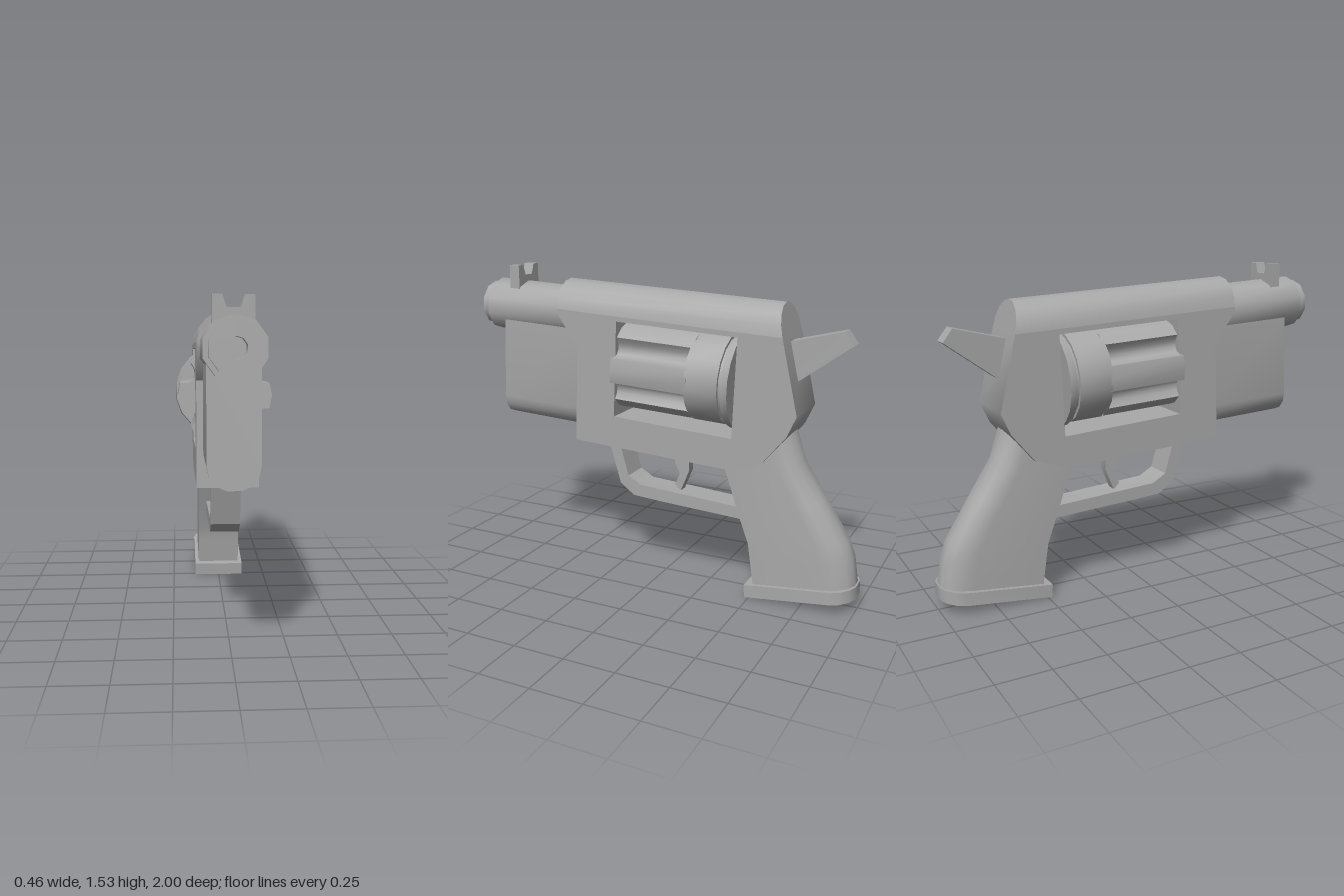
import * as THREE from 'three';
import { toCreasedNormals } from 'three/addons/utils/BufferGeometryUtils.js';

const TILT = 0.048; // the whole upper assembly points slightly upward

export function createModel() {
  const model = new THREE.Group();
  const grey = new THREE.MeshStandardMaterial({ color: 0xa8a8a8 });
  grey.name = 'grey metal';

  const add = (name, geometry, crease = 0.7) => {
    const mesh = new THREE.Mesh(toCreasedNormals(geometry, crease), grey);
    mesh.name = name;
    model.add(mesh);
  };

  // Extrude a side outline of [z, y] points to a half width in x
  const toVec = ([z, y]) => new THREE.Vector2(-z, y);
  const side = (points, halfWidth, hole) => {
    const shape = new THREE.Shape(points.map(toVec));
    if (hole) shape.holes.push(new THREE.Path(hole.map(toVec)));
    const g = new THREE.ExtrudeGeometry(shape, { depth: 2 * halfWidth, bevelEnabled: false });
    return g.translate(0, 0, -halfWidth).rotateY(Math.PI / 2);
  };

  // Extrude an x,y section along z between two depths
  const along = (points, z0, z1) => {
    const shape = new THREE.Shape(points.map(([x, y]) => new THREE.Vector2(x, y)));
    return new THREE.ExtrudeGeometry(shape, { depth: z1 - z0, bevelEnabled: false }).translate(0, 0, z0);
  };

  // Turned part along z from [radius, z] points, running back to front
  const turned = (points, sides) =>
    new THREE.LatheGeometry(points.map(([r, z]) => new THREE.Vector2(r, z)), sides).rotateX(Math.PI / 2);

  const tilt = (g, y) => g.rotateX(-TILT).translate(0, y, 0);

  // Frame with a window for the cylinder
  add('frame', side(
    [[0.53, 1.335], [0.53, 1.31], [0.42, 1.16], [0.44, 0.68], [-0.38, 0.637], [-0.55, 0.69],
      [-0.665, 0.83], [-0.71, 0.93], [-0.631, 1.279]],
    0.14,
    [[0.2, 1.295], [-0.42, 1.265], [-0.4, 0.79], [0.22, 0.825]]), 0.65);

  // Rounded frame top with a raked back end
  const arch = [];
  for (let i = 0; i <= 8; i++) {
    const a = (i / 8) * Math.PI;
    arch.push([0.14 * Math.cos(a), 0.14 * Math.sin(a)]);
  }
  const roof = along(arch, 0, 1);
  const rp = roof.attributes.position;
  for (let i = 0; i < rp.count; i++) {
    const h = rp.getY(i);
    const z = rp.getZ(i) > 0.5 ? 0.53 : -0.6 - (0.14 - h) * 0.22;
    rp.setXYZ(i, rp.getX(i), 1.309 + h + TILT * z, z);
  }
  add('frameTop', roof);

  // Barrel, muzzle ring and bore
  add('barrel', tilt(turned(
    [[0.132, 0.45], [0.132, 1.015], [0.11, 1.015], [0.11, 1.06], [0.045, 1.06], [0.045, 1.0], [0, 1.0]], 10),
  1.276).translate(0, 0, -0.06));

  // Barrel shroud with a rounded underside
  add('barrelShroud', tilt(along(
    [[-0.11, 0.52], [-0.11, 0.1], [-0.1, 0.055], [-0.07, 0.017], [-0.03, 0],
      [0.03, 0], [0.07, 0.017], [0.1, 0.055], [0.11, 0.1], [0.11, 0.52]],
    0.4, 0.89), 0.713));

  // Notched front sight
  add('frontSight', along(
    [[-0.085, 1.4], [0.085, 1.4], [0.085, 1.53], [0.045, 1.53], [0.028, 1.48],
      [-0.028, 1.48], [-0.045, 1.53], [-0.085, 1.53]], 0.785, 0.84), 0.2);

  // Fluted front of the cylinder
  const flutes = [];
  for (let k = 0; k < 6; k++) {
    for (const [deg, r] of [[-16, 0.218], [0, 0.222], [16, 0.218], [19, 0.185], [25, 0.165], [35, 0.165], [41, 0.185]]) {
      const a = THREE.MathUtils.degToRad(60 * k + deg);
      flutes.push([r * Math.cos(a), r * Math.sin(a)]);
    }
  }
  add('flutedCylinder', tilt(along(flutes, -0.2, 0.195), 1.062));

  // Plain rear of the cylinder with its rim
  add('cylinderRear', tilt(turned(
    [[0, -0.41], [0.235, -0.41], [0.23, -0.375], [0.205, -0.375], [0.205, -0.355],
      [0.22, -0.355], [0.22, -0.19], [0, -0.19]], 18), 1.062));

  add('hammer', side([[-0.6, 1.24], [-0.88, 1.31], [-0.925, 1.25], [-0.68, 1.07], [-0.6, 1.05]], 0.04), 0.2);

  add('triggerGuard', side(
    [[0.29, 0.68], [0.225, 0.46], [0.15, 0.405], [0, 0.395], [-0.47, 0.372], [-0.47, 0.43],
      [0.11, 0.465], [0.18, 0.505], [0.23, 0.68]], 0.07), 0.5);

  add('trigger', side(
    [[-0.055, 0.67], [-0.06, 0.59], [-0.085, 0.54], [-0.06, 0.48], [-0.09, 0.45],
      [-0.135, 0.56], [-0.135, 0.67]], 0.025), 0.5);

  // Grip lofted through sections, each from a front [z, y] to a back [z, y]
  const sections = [
    [[-0.515, 0.06], [-0.99, 0.115]],
    [[-0.495, 0.2], [-0.97, 0.25]],
    [[-0.485, 0.27], [-0.94, 0.33]],
    [[-0.43, 0.42], [-0.82, 0.52]],
    [[-0.39, 0.54], [-0.71, 0.69]],
    [[-0.34, 0.68], [-0.66, 0.845]],
  ];
  const half = [[0, 0.11], [0.72, 0.11], [0.86, 0.1], [0.95, 0.07], [1, 0.03]];
  const ring = [...half, ...half.slice().reverse().map(([t, x]) => [t, -x])];
  const n = ring.length;
  const verts = [];
  const index = [];
  sections.forEach(([f, b], s) => {
    for (const [t, x] of ring) {
      verts.push(x, f[1] + (b[1] - f[1]) * t, f[0] + (b[0] - f[0]) * t);
    }
    if (s === 0) return;
    for (let i = 0; i < n; i++) {
      const a = (s - 1) * n + i;
      const c = (s - 1) * n + ((i + 1) % n);
      index.push(a, c, c + n, a, c + n, a + n);
    }
  });
  const top = (sections.length - 1) * n;
  for (let i = 1; i < n - 1; i++) {
    index.push(0, i + 1, i, top, top + i, top + i + 1);
  }
  const grip = new THREE.BufferGeometry();
  grip.setAttribute('position', new THREE.Float32BufferAttribute(verts, 3));
  grip.setIndex(index);
  add('grip', grip, 0.8);

  // Butt plate with a rounded heel, sloped to follow the grip
  const heel = [[0.13, -0.475], [0.13, -0.9], [0.115, -0.945], [0.08, -0.98], [0.04, -0.997]];
  const plan = [...heel, ...heel.slice().reverse().map(([x, z]) => [-x, z])];
  const plate = along(plan.map(([x, z]) => [x, -z]), 0, 0.063).rotateX(-Math.PI / 2);
  const pp = plate.attributes.position;
  for (let i = 0; i < pp.count; i++) {
    const z = pp.getZ(i);
    pp.setY(i, pp.getY(i) - (z + 0.475) * 0.115);
    pp.setZ(i, z + (pp.getY(i) < 0.04 && z > -0.6 ? -0.005 : 0));
  }
  add('buttPlate', plate);

  return model;
}
